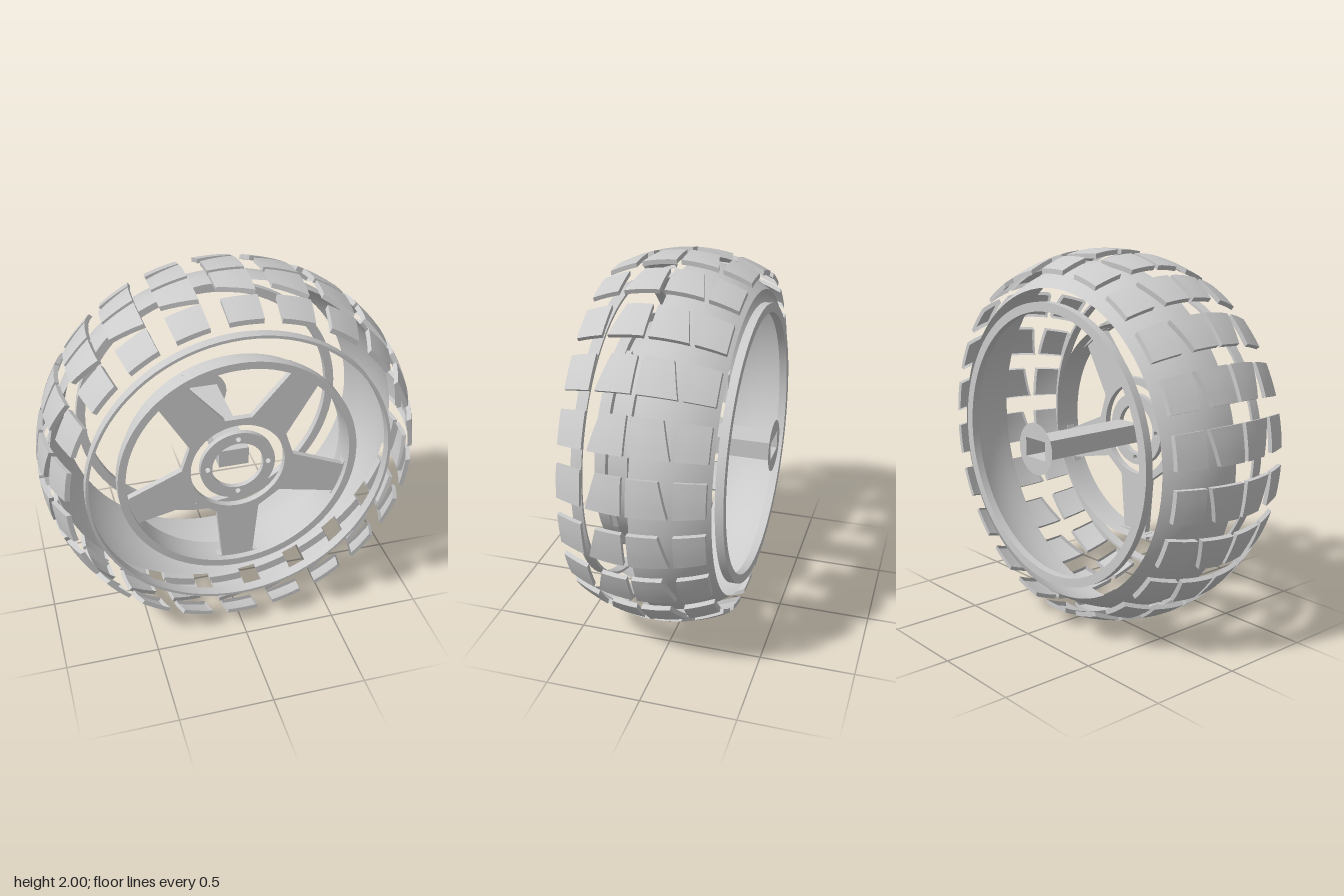
import * as THREE from 'three';
import { toCreasedNormals } from 'three/addons/utils/BufferGeometryUtils.js';

const material = new THREE.MeshStandardMaterial({ color: 0xcccccc, side: THREE.DoubleSide });
const TAU = Math.PI * 2;

function add(parent, name, geometry) {
  const mesh = new THREE.Mesh(geometry, material);
  mesh.name = name;
  parent.add(mesh);
  return mesh;
}

// Turned part about the z axis; profile is a list of [radius, z]
function turned(profile, crease = 0.6) {
  const points = profile.map(([r, z]) => new THREE.Vector2(r, z));
  const g = new THREE.LatheGeometry(points, 88).rotateX(Math.PI / 2);
  return toCreasedNormals(g, crease);
}

function ring(inner, outer, z0, z1) {
  return turned([[inner, z0], [outer, z0], [outer, z1], [inner, z1], [inner, z0]]);
}

function plate(shape, z0, z1) {
  const g = new THREE.ExtrudeGeometry(shape, { depth: z1 - z0, bevelEnabled: false, curveSegments: 40 });
  return g.translate(0, 0, z0);
}

function circleHole(shape, x, y, r) {
  shape.holes.push(new THREE.Path().absarc(x, y, r, 0, TAU, true));
}

// Crowned tread radius at a given z
const crown = (z) => 1 - 0.68 * (z - 0.055) ** 2;

// Curved tread block, open underneath; zLow and zHigh are [start, end] pairs along the rolling direction
function treadBlock(zLow, zHigh) {
  const half = 0.093;
  const g = new THREE.BoxGeometry(2, 2, 1, 4, 4, 1);
  g.setIndex(Array.from(g.index.array.slice(0, g.groups[5].start)));
  g.clearGroups();
  const p = g.attributes.position;
  for (let i = 0; i < p.count; i++) {
    const u = (p.getX(i) + 1) / 2;
    const v = (1 - p.getY(i)) / 2;
    const low = THREE.MathUtils.lerp(zLow[0], zLow[1], u);
    const high = THREE.MathUtils.lerp(zHigh[0], zHigh[1], u);
    const z = THREE.MathUtils.lerp(low, high, v);
    const r = crown(z) - (0.5 - p.getZ(i)) * 0.025;
    const a = (u * 2 - 1) * half;
    p.setXYZ(i, r * Math.sin(a), r * Math.cos(a), z);
  }
  return toCreasedNormals(g, 0.5);
}

export function createModel() {
  const model = new THREE.Group();
  model.name = 'wheel';
  const wheel = new THREE.Group();
  wheel.name = 'wheelAssembly';
  wheel.position.y = 1;
  model.add(wheel);

  // Rear half of the tyre carcass, rounded down to the rim and open towards the front
  const carcass = [];
  for (let i = 0; i <= 12; i++) {
    const t = 1 - i / 12;
    carcass.push([0.935 - 0.122 * t ** 2.3, 0.055 - 0.368 * t]);
  }
  add(wheel, 'tyreCarcass', turned(carcass, 1));

  // Four rows of tread blocks
  const rows = {
    frontShoulderBlock: [[0.28, 0.28], [0.42, 0.42]],
    frontCentreBlock: [[0.07, 0.07], [0.2, 0.25]],
    rearCentreBlock: [[-0.1, -0.145], [0.045, 0.045]],
    rearShoulderBlock: [[-0.31, -0.31], [-0.168, -0.168]],
  };
  for (const [name, [low, high]] of Object.entries(rows)) {
    const geometry = treadBlock(low, high);
    for (let i = 0; i < 22; i++) add(wheel, name, geometry).rotation.z = (i / 22) * TAU;
  }

  // Rim rings
  add(wheel, 'frontRimRing', ring(0.79, 0.805, 0.335, 0.39));
  add(wheel, 'rearRimRing', ring(0.697, 0.745, -0.352, -0.31));
  add(wheel, 'innerRimRing', ring(0.595, 0.635, 0.278, 0.335));
  add(wheel, 'innerRimBarrel', turned([[0.595, 0.18], [0.595, 0.278]]));

  // Five-spoke plate with a round centre opening
  const spokeShape = new THREE.Shape();
  const outline = [];
  for (let k = 0; k < 5; k++) {
    const a = -Math.PI / 2 + (k * TAU) / 5;
    for (const [r, t] of [[0.276, -0.114], [0.59, -0.085], [0.59, 0.085], [0.276, 0.114]]) {
      outline.push(new THREE.Vector2(r * Math.cos(a) - t * Math.sin(a), r * Math.sin(a) + t * Math.cos(a)));
    }
  }
  spokeShape.setFromPoints(outline);
  circleHole(spokeShape, 0, 0, 0.252);
  add(wheel, 'spokes', plate(spokeShape, 0.265, 0.3));

  // Clips joining the spoke ends to the rim
  for (let k = 0; k < 5; k++) {
    const a = -Math.PI / 2 + (k * TAU) / 5;
    const clip = add(wheel, 'spokeClip', new THREE.BoxGeometry(0.035, 0.22, 0.05));
    clip.position.set(0.6 * Math.cos(a), 0.6 * Math.sin(a), 0.275);
    clip.rotation.z = a;
  }

  // Hub flange with four bolt holes
  const hubShape = new THREE.Shape().absarc(0, 0, 0.2, 0, TAU);
  circleHole(hubShape, 0, 0, 0.137);
  for (let k = 0; k < 4; k++) {
    circleHole(hubShape, 0.162 * Math.cos(k * TAU / 4), 0.162 * Math.sin(k * TAU / 4), 0.015);
  }
  add(wheel, 'hubFlange', plate(hubShape, 0.265, 0.295));

  // Hollow rectangular axle, closed at the front
  const axle = new THREE.Group();
  axle.name = 'axle';
  wheel.add(axle);
  for (const s of [-1, 1]) {
    add(axle, 'axleSide', new THREE.PlaneGeometry(0.65, 0.1).rotateY(s * Math.PI / 2)).position.set(s * 0.08, 0, -0.105);
    add(axle, 'axleFace', new THREE.PlaneGeometry(0.16, 0.65).rotateX(-s * Math.PI / 2)).position.set(0, s * 0.05, -0.105);
  }
  add(axle, 'axleCap', new THREE.PlaneGeometry(0.16, 0.1)).position.z = 0.22;

  // Thin rear axle disc with a rectangular opening
  const discShape = new THREE.Shape().absarc(0, 0, 0.137, 0, TAU);
  discShape.holes.push(new THREE.Path([[-0.08, -0.05], [-0.08, 0.05], [0.08, 0.05], [0.08, -0.05]]
    .map(([x, y]) => new THREE.Vector2(x, y))));
  add(axle, 'axleDisc', new THREE.ShapeGeometry(discShape, 40)).position.z = -0.43;

  return model;
}
